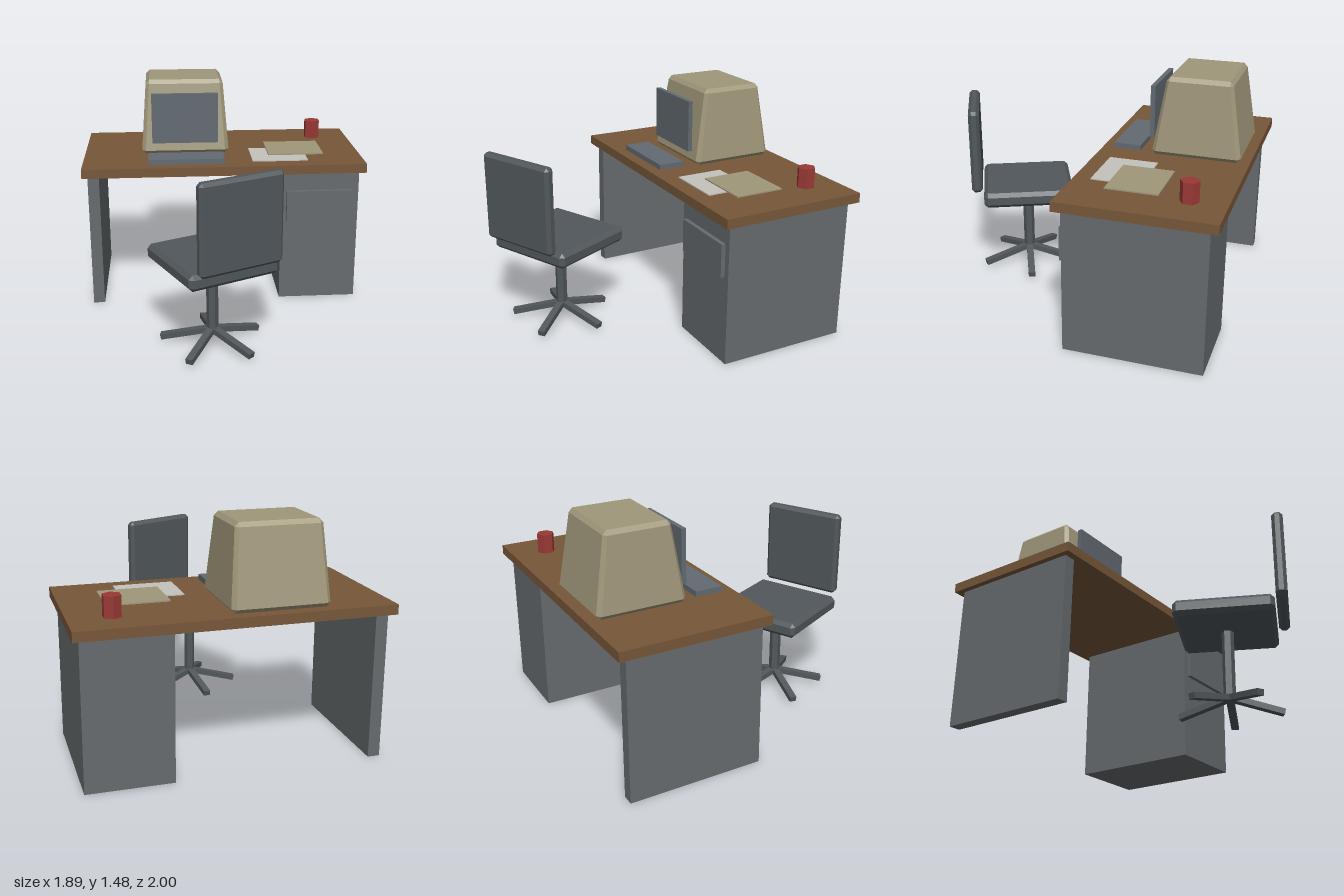
import * as THREE from 'three';
import { ConvexGeometry } from 'three/addons/geometries/ConvexGeometry.js';

const mat = (name, color) => {
  const m = new THREE.MeshStandardMaterial({ color });
  m.name = name;
  return m;
};

// Box with chamfered edges, centred; the top may be scaled in x and z for a taper
function chamferBox(w, h, d, c, topX = 1, topZ = 1) {
  const pts = [];
  for (const sx of [-1, 1]) for (const sy of [-1, 1]) for (const sz of [-1, 1]) {
    for (let axis = 0; axis < 3; axis++) {
      const inset = [c, c, c];
      inset[axis] = 0;
      const y = sy * (h / 2 - inset[1]);
      const t = y / h + 0.5;
      pts.push(new THREE.Vector3(
        sx * (w / 2 - inset[0]) * THREE.MathUtils.lerp(1, topX, t),
        y,
        sz * (d / 2 - inset[2]) * THREE.MathUtils.lerp(1, topZ, t)));
    }
  }
  return new ConvexGeometry(pts);
}

export function createModel() {
  const model = new THREE.Group();
  model.name = 'officeDesk';

  const wood = mat('wood brown', 0x775739);
  const metal = mat('cabinet grey', 0x666b6e);
  const slate = mat('slate grey', 0x626a71);
  const fabric = mat('chair grey', 0x51575b);
  const beige = mat('casing beige', 0xa0977a);
  const white = mat('paper white', 0xc4c2bc);
  const red = mat('mug red', 0x9a3935);

  const add = (parent, name, geometry, material, x, y, z) => {
    const mesh = new THREE.Mesh(geometry, material);
    mesh.name = name;
    mesh.position.set(x, y, z);
    parent.add(mesh);
    return mesh;
  };
  // Box given by its extents
  const block = (parent, name, material, x0, x1, y0, y1, z0, z1) =>
    add(parent, name, new THREE.BoxGeometry(x1 - x0, y1 - y0, z1 - z0), material,
      (x0 + x1) / 2, (y0 + y1) / 2, (z0 + z1) / 2);

  // Desk
  const desk = new THREE.Group();
  desk.name = 'desk';
  model.add(desk);
  block(desk, 'deskTop', wood, -0.945, 0.945, 0.912, 0.973, -1, -0.045);
  block(desk, 'sidePanel', metal, -0.91, -0.835, 0, 0.912, -0.947, -0.09);
  block(desk, 'drawerCabinet', metal, 0.377, 0.905, 0, 0.912, -0.947, -0.09);
  block(desk, 'drawerFront', metal, 0.415, 0.865, 0.572, 0.785, -0.09, -0.063);

  // Computer
  const computer = new THREE.Group();
  computer.name = 'computer';
  model.add(computer);
  add(computer, 'monitorCasing', chamferBox(0.602, 0.502, 0.572, 0.026, 0.87, 0.715), beige,
    -0.253, 1.224, -0.661);
  block(computer, 'screen', slate, -0.48, -0.03, 1.06, 1.4, -0.377, -0.347);
  block(computer, 'keyboard', slate, -0.507, 0, 0.973, 1.008, -0.297, -0.12);

  // Things on the desk
  block(model, 'paperSheet', white, 0.19, 0.565, 0.973, 0.98, -0.463, -0.153);
  block(model, 'folder', beige, 0.31, 0.69, 0.98, 0.988, -0.6, -0.277);
  const mugGeometry = new THREE.CylinderGeometry(0.057, 0.057, 0.127, 6).toNonIndexed();
  mugGeometry.computeVertexNormals();
  add(model, 'mug', mugGeometry, red, 0.69, 1.0365, -0.778);

  // Swivel chair, turned away from the desk axis
  const chair = new THREE.Group();
  chair.name = 'chair';
  chair.position.set(-0.127, 0, 0.553);
  chair.rotation.y = 0.44;
  model.add(chair);
  add(chair, 'seat', chamferBox(0.602, 0.102, 0.602, 0.025), fabric, 0, 0.582, 0);
  add(chair, 'backrest', chamferBox(0.545, 0.561, 0.07, 0.02), fabric, 0, 0.9175, 0.343);
  const postGeometry = new THREE.CylinderGeometry(0.037, 0.037, 0.45, 6).toNonIndexed();
  postGeometry.computeVertexNormals();
  add(chair, 'post', postGeometry, fabric, 0, 0.32, 0);

  // Five sloping feet around the post
  const footGeometry = new THREE.BoxGeometry(0.335, 0.036, 0.045);
  footGeometry.translate(0.1675, 0, 0);
  for (let i = 0; i < 5; i++) {
    const arm = new THREE.Group();
    arm.name = 'footArm';
    arm.rotation.y = (i * Math.PI * 2) / 5;
    add(arm, 'foot', footGeometry, fabric, 0, 0.108, 0).rotation.z = -0.22;
    chair.add(arm);
  }

  return model;
}
